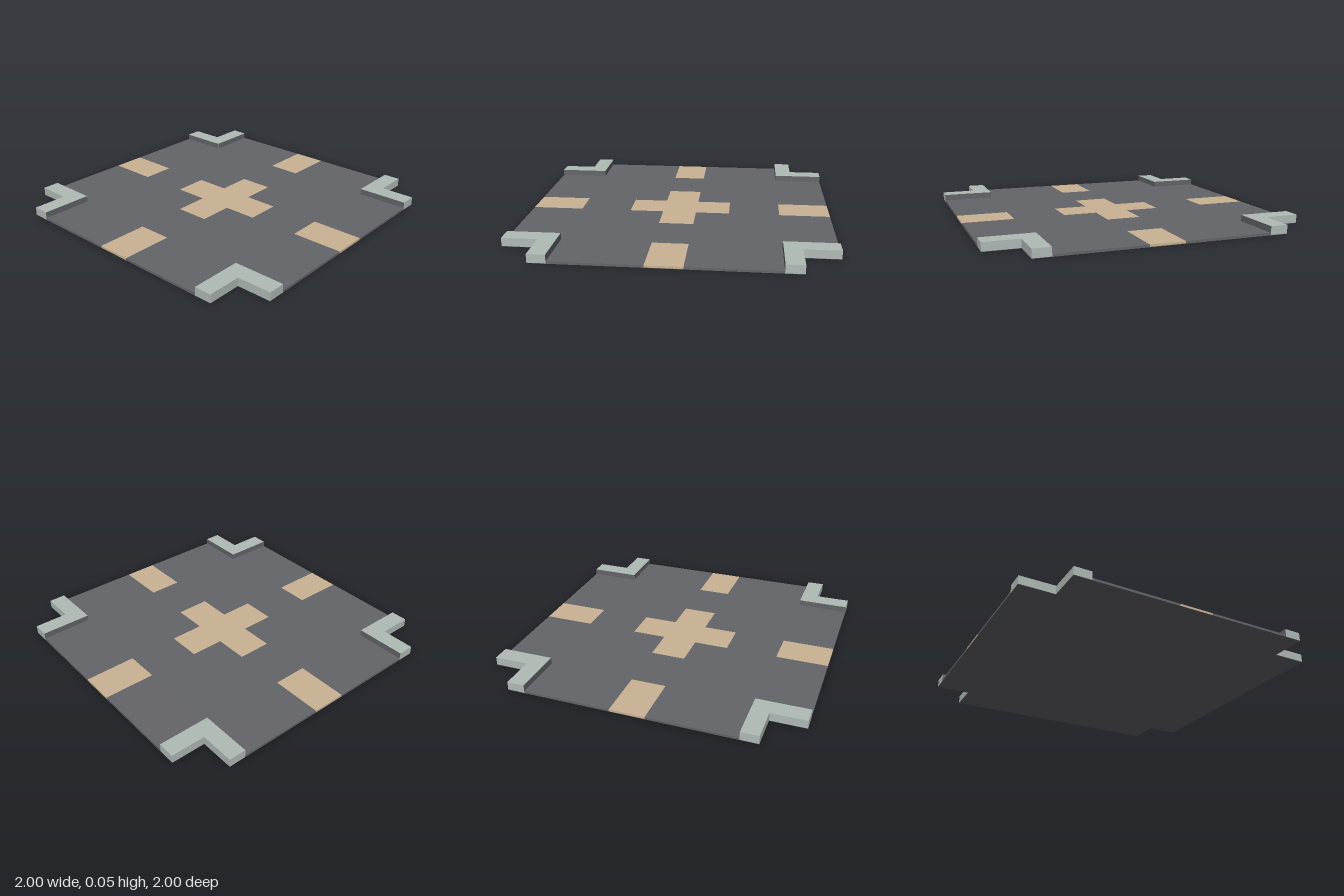
import * as THREE from 'three';

const BASE = 0.002;   // dark underside sheet
const ROAD = 0.015;   // road surface height
const KERB = 0.055;   // kerb top height
const IN = 0.667;     // inner kerb line
const OUT = 0.778;    // outer kerb line
const W = 0.111;      // half width of the paint marks
const ARM = 0.333;    // reach of the centre cross

const material = (color) => new THREE.MeshStandardMaterial({
  color, flatShading: true,
});

// Points of a plus shape reaching r, with arms of half width w
function plusPoints(r, w) {
  return [[w, -r], [w, -w], [r, -w], [r, w], [w, w], [w, r],
    [-w, r], [-w, w], [-r, w], [-r, -w], [-w, -w], [-w, -r]]
    .map(([x, y]) => new THREE.Vector2(x, y));
}

// Upright slab between two heights from a plan outline
function slab(shape, y0, y1) {
  const g = new THREE.ExtrudeGeometry(shape, { depth: y1 - y0, bevelEnabled: false });
  g.rotateX(-Math.PI / 2);
  g.translate(0, y0, 0);
  return g;
}

export function createModel() {
  const group = new THREE.Group();
  const dark = material(0x646569);
  const stone = material(0xb0bbb6);
  const sand = material(0xcab393);

  const add = (parent, name, geometry, mat) => {
    const mesh = new THREE.Mesh(geometry, mat);
    mesh.name = name;
    parent.add(mesh);
    return mesh;
  };

  // Underside sheet, reaching below the kerbs
  add(group, 'underside', slab(new THREE.Shape(plusPoints(1, OUT)), 0, BASE), dark);

  // Road with an opening for the centre cross and notches for the edge marks
  const outline = [];
  for (let i = 0; i < 4; i++) {
    const side = [[-IN, -IN], [-IN, -1], [-W, -1], [-W, -IN],
      [W, -IN], [W, -1], [IN, -1]];
    for (const [x, y] of side) {
      outline.push(new THREE.Vector2(x, y).rotateAround(new THREE.Vector2(), i * Math.PI / 2));
    }
  }
  const roadShape = new THREE.Shape(outline);
  roadShape.holes.push(new THREE.Path(plusPoints(ARM, W).reverse()));
  add(group, 'road', slab(roadShape, BASE, ROAD), dark);

  // Centre paint cross
  add(group, 'centreCross', slab(new THREE.Shape(plusPoints(ARM, W)), BASE, ROAD), sand);

  // L-shaped kerb plan for one corner
  const kerbShape = new THREE.Shape([[IN, IN], [1, IN], [1, OUT], [OUT, OUT],
    [OUT, 1], [IN, 1]].map(([x, y]) => new THREE.Vector2(x, y)));
  const kerbGeometry = slab(kerbShape, BASE, KERB);
  const markGeometry = new THREE.BoxGeometry(2 * W, ROAD - BASE, 1 - IN);
  const faceGeometry = new THREE.PlaneGeometry(1 - IN, KERB - ROAD);

  // One edge mark and one kerb corner per quarter turn
  for (let i = 0; i < 4; i++) {
    const quarter = new THREE.Group();
    quarter.name = 'quarter' + (i + 1);
    quarter.rotation.y = i * Math.PI / 2;
    group.add(quarter);

    add(quarter, 'edgeMark', markGeometry, sand)
      .position.set(0, (ROAD + BASE) / 2, (1 + IN) / 2);
    add(quarter, 'kerb', kerbGeometry, stone);

    // Dark faces of the kerb towards the road
    const mid = (1 + IN) / 2, y = (KERB + ROAD) / 2, gap = 0.0008;
    add(quarter, 'kerbFaceAcross', faceGeometry, dark).position.set(mid, y, -IN + gap);
    const along = add(quarter, 'kerbFaceAlong', faceGeometry, dark);
    along.position.set(IN - gap, y, -mid);
    along.rotation.y = -Math.PI / 2;
  }
  return group;
}
